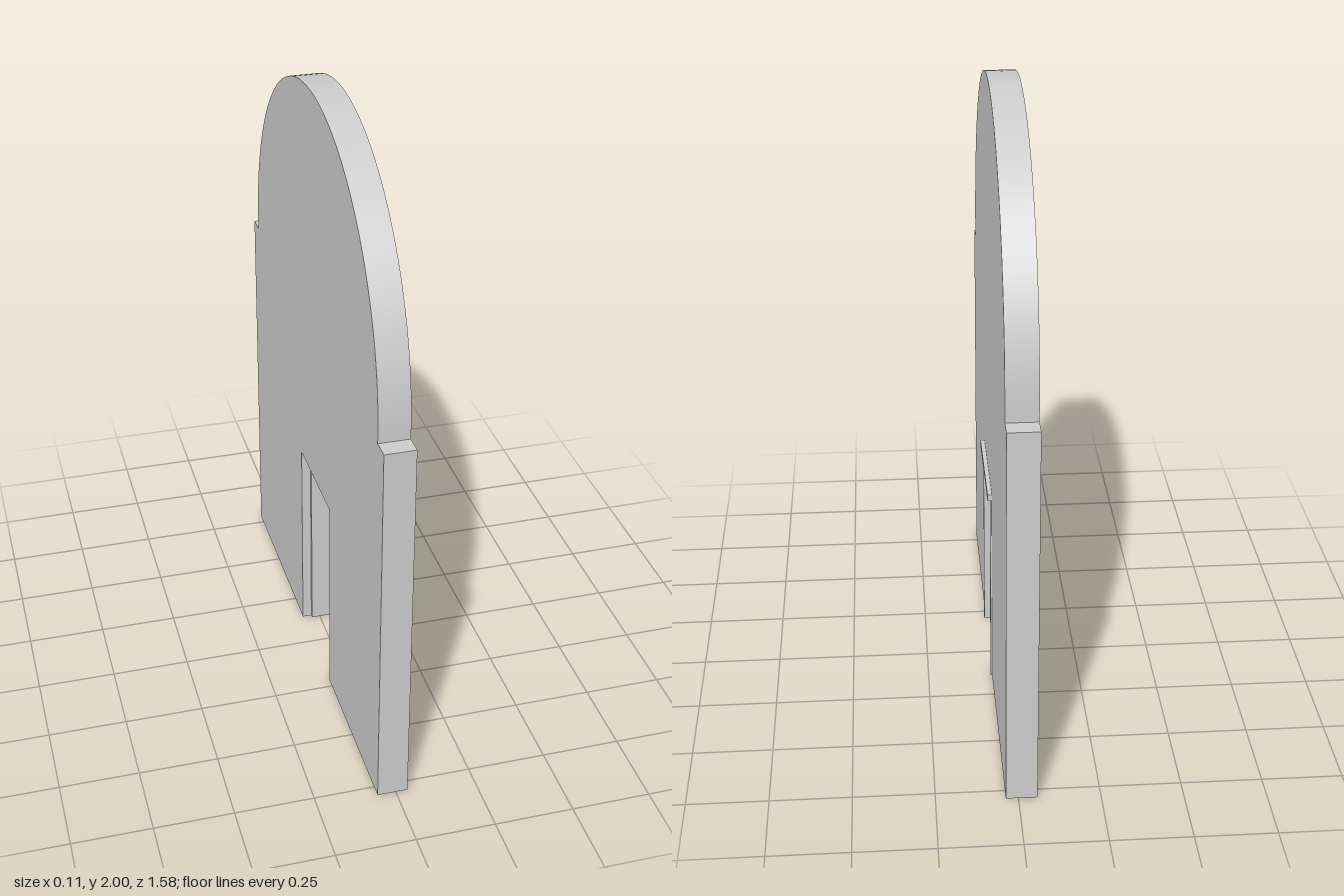
import * as THREE from 'three';
import { toCreasedNormals } from 'three/addons/utils/BufferGeometryUtils.js';

const material = new THREE.MeshStandardMaterial({ color: 0xcccccc });

// Extrudes a (z, y) outline through the wall's thickness, from x0 to x1
function slab(name, shape, x0, x1) {
  const geo = new THREE.ExtrudeGeometry(shape, { depth: x1 - x0, bevelEnabled: false, curveSegments: 40 });
  geo.rotateY(-Math.PI / 2);
  geo.translate(x1, 0, 0);
  const mesh = new THREE.Mesh(toCreasedNormals(geo, 0.5), material);
  mesh.name = name;
  return mesh;
}

const polygon = (points) => new THREE.Shape(points.map(([z, y]) => new THREE.Vector2(z, y)));

export function createModel() {
  const group = new THREE.Group();
  group.name = 'archedWall';

  const back = -0.058, face = 0.038;                 // wall faces along x
  const halfWidth = 0.788, shoulder = 1.237, radius = 0.728;
  const doorZ = 0.039, doorHalf = 0.18, doorTop = 0.683;
  const trim = 0.012;                                // frame board thickness

  // Wall with round top, stepped shoulders and an off-centre doorway
  const wall = new THREE.Shape();
  wall.moveTo(doorZ + doorHalf, 0);
  wall.lineTo(halfWidth, 0);
  wall.lineTo(halfWidth, shoulder);
  wall.lineTo(radius, shoulder);
  wall.lineTo(radius, 2 - radius);
  wall.absarc(0, 2 - radius, radius, 0, Math.PI, false);
  wall.lineTo(-radius, shoulder);
  wall.lineTo(-halfWidth, shoulder);
  wall.lineTo(-halfWidth, 0);
  wall.lineTo(doorZ - doorHalf, 0);
  wall.lineTo(doorZ - doorHalf, doorTop);
  wall.lineTo(doorZ + doorHalf, doorTop);
  group.add(slab('wall', wall, back, face));

  // Door frame lining the opening, slightly proud of the wall
  const a = doorZ - doorHalf, b = doorZ + doorHalf;
  const frame = polygon([
    [a, 0], [a + trim, 0], [a + trim, doorTop - trim], [b - trim, doorTop - trim],
    [b - trim, 0], [b, 0], [b, doorTop], [a, doorTop],
  ]);
  group.add(slab('doorFrame', frame, -0.028, 0.043));

  // Lintel strip above the door
  const lintel = new THREE.Mesh(new THREE.BoxGeometry(0.014, 0.022, 0.382), material);
  lintel.position.set(face + 0.007, 0.682, doorZ);
  lintel.name = 'lintel';
  group.add(lintel);

  return group;
}
